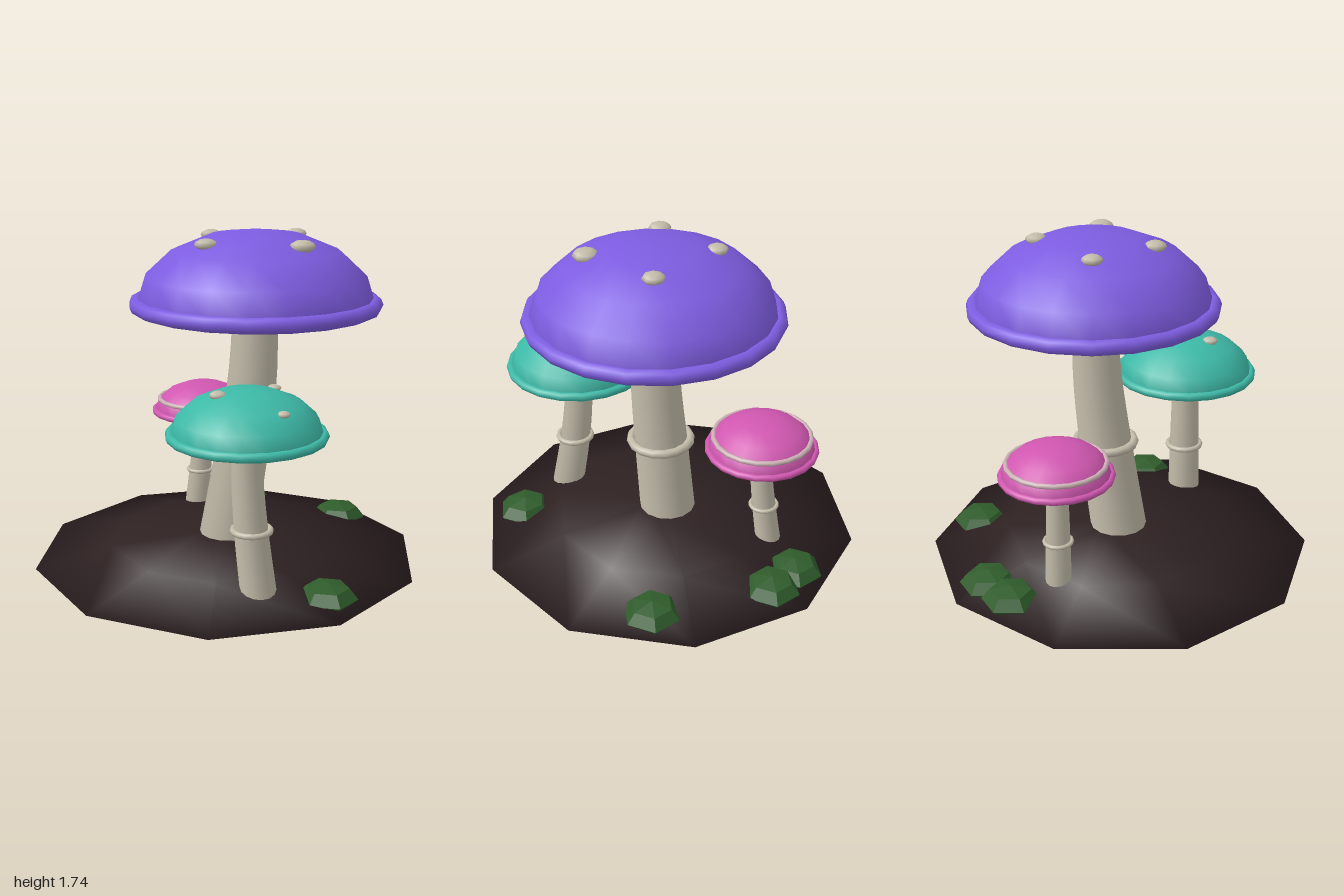
import * as THREE from 'three';

const mat = (name, color, side = THREE.FrontSide) => {
  const m = new THREE.MeshStandardMaterial({ color, side });
  m.name = name;
  return m;
};

export function createModel() {
  const model = new THREE.Group();
  model.name = 'mushroomCluster';

  const soil = mat('soil', 0x2e2122, THREE.DoubleSide);
  const moss = mat('moss', 0x2f5c2b);
  moss.flatShading = true;
  const cream = mat('cream', 0xc2bba9);
  const purple = mat('purple', 0x7d5ce0);
  const teal = mat('teal', 0x3db9a7);
  const pink = mat('pink', 0xd057b0);
  const purpleGill = mat('purpleGill', 0x9590ba);
  const tealGill = mat('tealGill', 0x70baad);
  const pinkGill = mat('pinkGill', 0xba8ea8);
  const palePink = mat('palePink', 0xcbb0b4);

  const add = (parent, name, geometry, material, x = 0, y = 0, z = 0) => {
    const mesh = new THREE.Mesh(geometry, material);
    mesh.name = name;
    mesh.position.set(x, y, z);
    parent.add(mesh);
    return mesh;
  };

  // horizontal ring
  const ring = (radius, tube, sides = 20) =>
    new THREE.TorusGeometry(radius, tube, 8, sides).rotateX(Math.PI / 2);

  // ten-sided mound with a flat underside, softly rounded over the rim:
  // each profile point is radius, height, then the outward and upward normal
  const mound = [
    [0, 0.045, 1, 0], [1, 0.045, 0.995, -0.1], [0.6, 0.135, 0.6, 0.8],
    [0.15, 0.163, 0.15, 0.989], [0, 0.165, 0, 1],
  ];
  const groundGeometry = new THREE.LatheGeometry(mound.map(([r, y]) => new THREE.Vector2(r, y)), 10);
  const normals = groundGeometry.attributes.normal;
  for (let i = 0; i < normals.count; i++) {
    const angle = Math.floor(i / mound.length) * Math.PI / 5;
    const [, , out, up] = mound[i % mound.length];
    normals.setXYZ(i, out * Math.sin(angle), up, out * Math.cos(angle));
  }
  add(model, 'ground', groundGeometry, soil);

  // tapered stem whose cross-sections follow a curve
  const stemGeometry = (path, rBottom, rTop) => {
    const curve = new THREE.CatmullRomCurve3(path.map((p) => new THREE.Vector3(...p)));
    const geometry = new THREE.CylinderGeometry(rTop, rBottom, 1, 14, 10, true);
    const pos = geometry.attributes.position;
    for (let i = 0; i < pos.count; i++) {
      const c = curve.getPoint(THREE.MathUtils.clamp(pos.getY(i) + 0.5, 0, 1));
      pos.setXYZ(i, pos.getX(i) + c.x, c.y, pos.getZ(i) + c.z);
    }
    return geometry;
  };

  const mushroom = (o) => {
    const group = new THREE.Group();
    group.name = o.name;
    model.add(group);
    const [x, y, z] = o.cap;
    add(group, 'stem', stemGeometry(o.path, o.stem[0], o.stem[1]), cream);
    add(group, 'stemRing', ring(o.collar[3], o.collar[4], 16), cream, ...o.collar.slice(0, 3));

    // cap: dome, rolled rim and underside
    const dome = new THREE.SphereGeometry(1, 20, 4, 0, Math.PI * 2, 0, Math.PI / 2);
    dome.scale(o.radius, o.height, o.radius);
    add(group, 'capDome', dome, o.color, x, y, z);
    add(group, 'capRim', ring(o.radius, o.radius * 0.064), o.color, x, y, z);
    add(group, 'gills', new THREE.CircleGeometry(o.radius, 20).rotateX(Math.PI / 2), o.gill, x, y, z);

    // spots rest on the dome surface
    for (const [sx, sz, r] of o.spots) {
      const d = Math.hypot(sx - x, sz - z) / o.radius;
      const sy = y + o.height * Math.sqrt(1 - d * d) - r * 0.05;
      const spot = add(group, 'spot', new THREE.SphereGeometry(r, 8, 6), cream, sx, sy, sz);
      spot.scale.y = 0.5;
    }
    return group;
  };

  mushroom({
    name: 'largeMushroom', color: purple, gill: purpleGill,
    cap: [0.08, 1.372, -0.13], radius: 0.6, height: 0.37,
    path: [[-0.003, 0.1, 0], [0.045, 0.63, -0.077], [0.075, 1.0, -0.117], [0.082, 1.37, -0.128]],
    stem: [0.15, 0.112], collar: [0.046, 0.63, -0.078, 0.153, 0.023],
    spots: [[0.116, -0.41, 0.055], [-0.217, -0.13, 0.053], [0.395, -0.095, 0.064], [0.016, 0.17, 0.057]],
  });

  mushroom({
    name: 'mediumMushroom', color: teal, gill: tealGill,
    cap: [0.431, 0.863, 0.355], radius: 0.36, height: 0.22,
    path: [[0.52, 0.09, 0.37], [0.467, 0.4, 0.365], [0.44, 0.65, 0.362], [0.432, 0.862, 0.36]],
    stem: [0.088, 0.069], collar: [0.469, 0.4, 0.363, 0.09, 0.015],
    spots: [[0.362, 0.48, 0.041], [0.683, 0.405, 0.031], [0.45, 0.18, 0.034]],
  });

  const small = mushroom({
    name: 'smallMushroom', color: pink, gill: pinkGill,
    cap: [-0.434, 0.684, -0.308], radius: 0.27, height: 0.161,
    path: [[-0.493, 0.1, -0.308], [-0.461, 0.33, -0.307], [-0.44, 0.52, -0.307], [-0.433, 0.683, -0.308]],
    stem: [0.066, 0.051], collar: [-0.46, 0.328, -0.307, 0.068, 0.011],
    spots: [],
  });
  add(small, 'capBand', ring(0.244, 0.013), palePink, -0.434, 0.75, -0.308);

  // six-sided faceted moss clumps around the edge
  const clump = new THREE.SphereGeometry(0.147, 6, 4).rotateY(Math.PI / 6).scale(1, 0.503, 1);
  for (const [x, z] of [[0.767, 0.155], [0.177, -0.767], [-0.438, -0.663], [-0.58, -0.54]]) {
    add(model, 'mossClump', clump, moss, x, 0.075, z);
  }

  return model;
}
